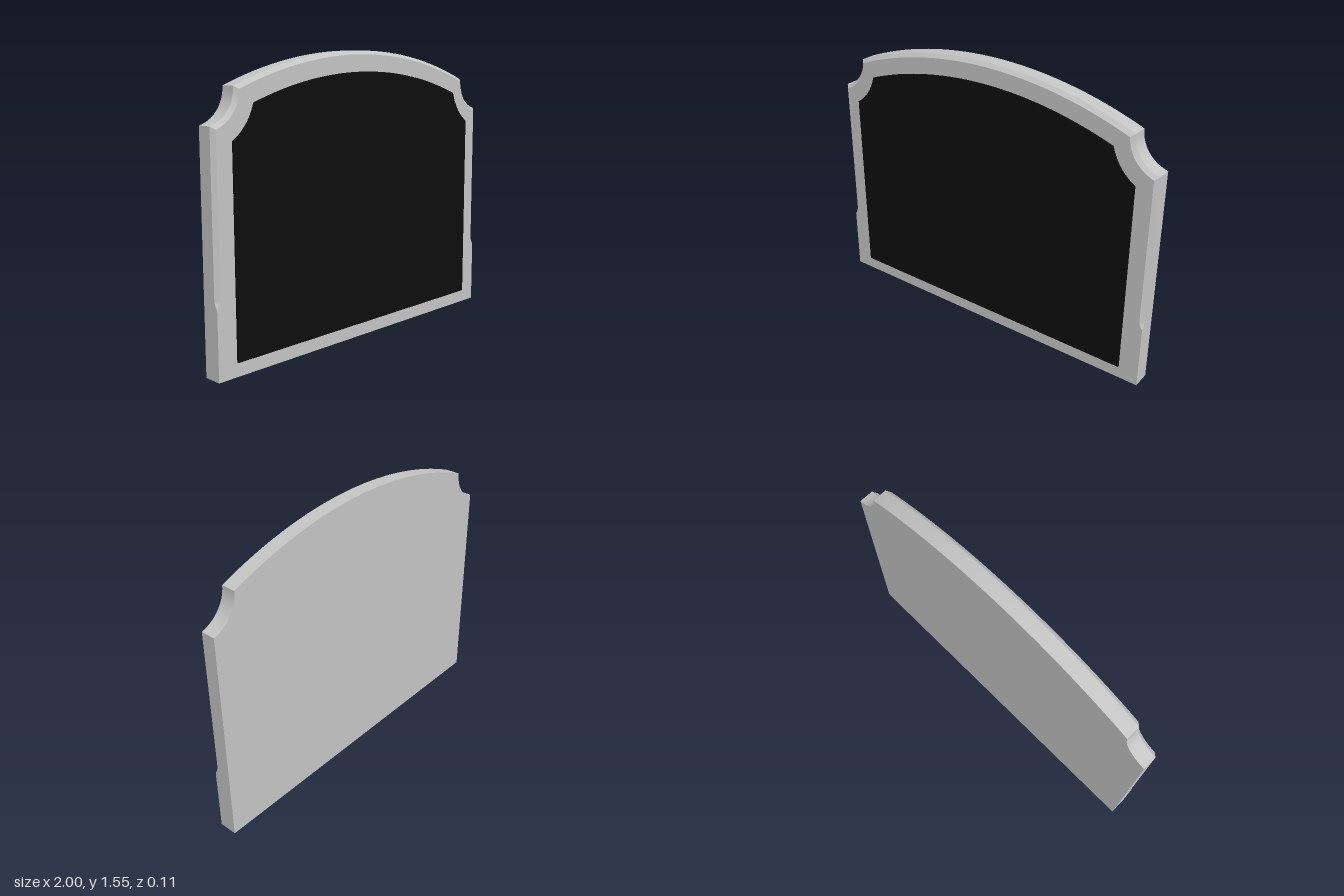
import * as THREE from 'three';
import { toCreasedNormals } from 'three/addons/utils/BufferGeometryUtils.js';

const BACK = -0.055, FRONT = 0.045, CHAMFER = 0.02;
const COVE = { x: 1.04, y: 1.387, r: 0.18 };   // scooped shoulder circle
const CROWN = { y: -0.769, r: 2.324 };         // shallow top arch circle

// Shoulder and arch, inset by c, from the right side to the left side
function upperOutline(c) {
  const r = COVE.r + c, R = CROWN.r - c, pts = [];
  // where the cove circle meets the side and the arch
  const start = -Math.acos((1 - c - COVE.x) / r);
  const dx = -COVE.x, dy = CROWN.y - COVE.y, d = Math.hypot(dx, dy);
  const toCrown = Math.atan2(dy, dx);
  const end = toCrown - Math.acos((r * r + d * d - R * R) / (2 * r * d));
  for (let i = 0; i <= 14; i++) {
    const a = start + (end - start) * i / 14;
    pts.push(new THREE.Vector2(COVE.x + r * Math.cos(a), COVE.y + r * Math.sin(a)));
  }
  const corner = pts[pts.length - 1];
  const a0 = Math.atan2(corner.x, corner.y - CROWN.y);
  for (let i = 1; i <= 20; i++) {
    const a = a0 * (1 - i / 20);
    pts.push(new THREE.Vector2(R * Math.sin(a), CROWN.y + R * Math.cos(a)));
  }
  return mirrored(pts);
}

// Adds the left half; the last point lies on the centre line
function mirrored(half) {
  return [...half, ...half.slice(0, -1).reverse().map(p => new THREE.Vector2(-p.x, p.y))];
}

// Straight side with the chamfer fading out near the foot
function sideSteps() {
  const steps = [{ y: 0, t: 0 }];
  for (let i = 0; i <= 6; i++) steps.push({ y: 0.355 + 0.045 * i / 6, t: Math.sin(Math.PI / 2 * i / 6) });
  return steps;
}

// Band of quads between two closed rings
function band(ringA, ringB) {
  const out = [], n = ringA.length;
  const tri = (...v) => {
    if (new THREE.Triangle(...v).getArea() > 1e-8) v.forEach(p => out.push(p.x, p.y, p.z));
  };
  for (let i = 0; i < n; i++) {
    const j = (i + 1) % n;
    tri(ringA[i], ringA[j], ringB[j]);
    tri(ringA[i], ringB[j], ringB[i]);
  }
  const g = new THREE.BufferGeometry();
  g.setAttribute('position', new THREE.Float32BufferAttribute(out, 3));
  return toCreasedNormals(g, Math.PI / 7);
}

export function createModel() {
  const stone = new THREE.MeshStandardMaterial({ color: 0xc4c4c4 });
  stone.name = 'grey stone';
  const black = new THREE.MeshStandardMaterial({ color: 0x0d0d0d });
  black.name = 'black panel';

  const model = new THREE.Group();
  model.name = 'headstone';
  const slab = new THREE.Group();
  slab.name = 'slab';
  model.add(slab);
  const add = (parent, name, geometry, material) => {
    const mesh = new THREE.Mesh(geometry, material);
    mesh.name = name;
    parent.add(mesh);
    return mesh;
  };

  // Rings: back edge, outer chamfer edge, inner chamfer edge
  const steps = sideSteps(), down = [...steps].reverse();
  const ring = (c, z) => [
    ...steps.map(s => new THREE.Vector3(1 - c * s.t, s.y, z(s.t))),
    ...upperOutline(c).map(p => new THREE.Vector3(p.x, p.y, z(1))),
    ...down.map(s => new THREE.Vector3(-1 + c * s.t, s.y, z(s.t))),
  ];
  const backRing = ring(0, () => BACK);
  const outerRing = ring(0, t => FRONT - CHAMFER * t);
  const innerRing = ring(CHAMFER, () => FRONT);
  const flat = r => new THREE.ShapeGeometry(new THREE.Shape(r.map(p => new THREE.Vector2(p.x, p.y))));

  add(slab, 'edge', band(backRing, outerRing), stone);
  add(slab, 'chamfer', band(outerRing, innerRing), stone);
  add(slab, 'frontFace', flat(innerRing).translate(0, 0, FRONT), stone);
  add(slab, 'backFace', flat(backRing).rotateY(Math.PI).translate(0, 0, BACK), stone);

  // Raised dark panel following the slab outline
  const panelInset = 0.11, panelFoot = 0.073;
  const panelShape = new THREE.Shape([
    new THREE.Vector2(1 - panelInset, panelFoot),
    ...upperOutline(panelInset),
    new THREE.Vector2(-1 + panelInset, panelFoot),
  ]);
  const panel = new THREE.ExtrudeGeometry(panelShape, { depth: 0.0095, bevelEnabled: false });
  add(model, 'panel', panel.translate(0, 0, FRONT), black);
  return model;
}
